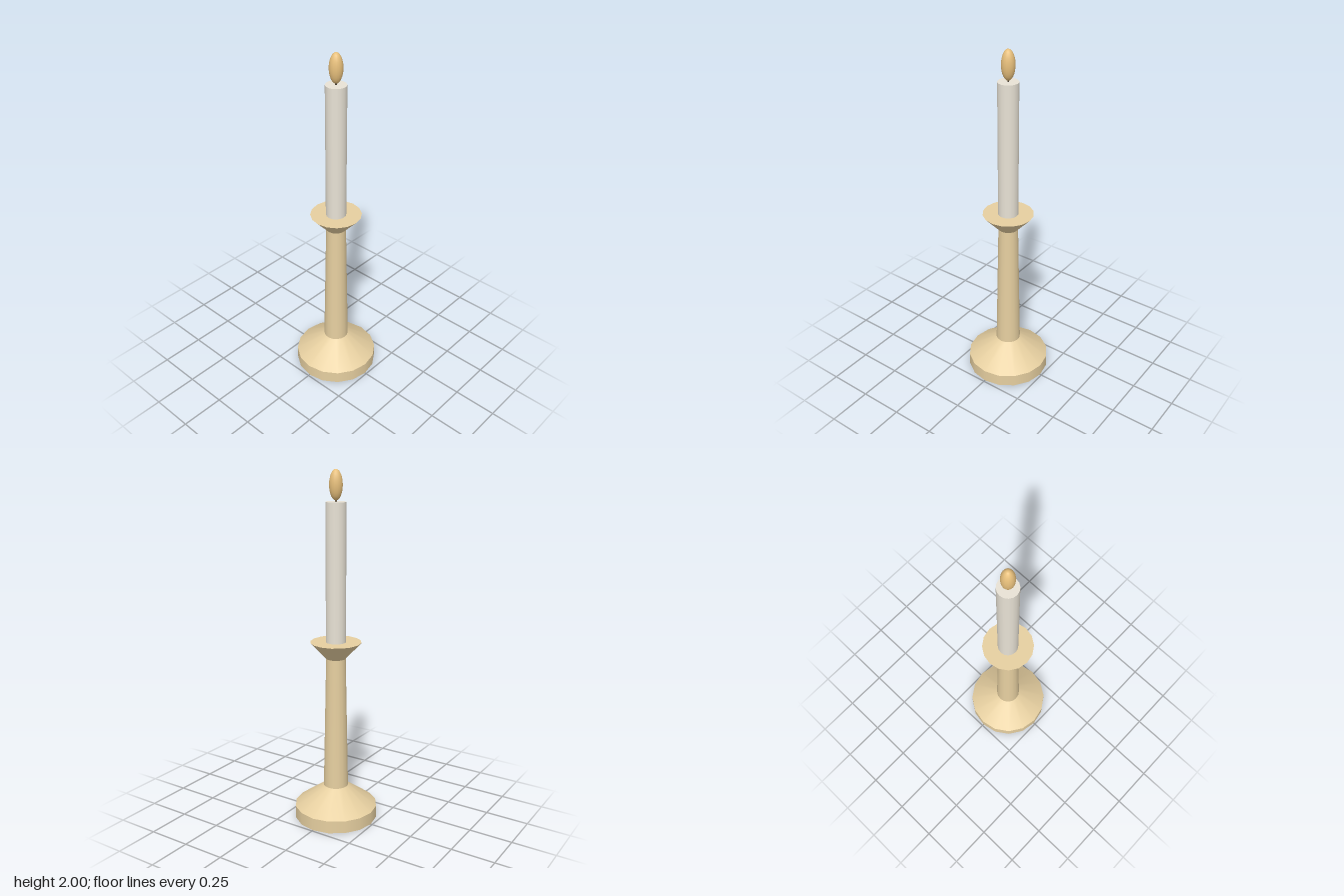
import * as THREE from 'three';

const SIDES = 16;

export function createModel() {
  const group = new THREE.Group();
  const brass = new THREE.MeshStandardMaterial({ color: 0xe6cfa0 });
  const wax = new THREE.MeshStandardMaterial({ color: 0xe8e2d5 });
  const fire = new THREE.MeshStandardMaterial({ color: 0xe8c07c });
  const dark = new THREE.MeshStandardMaterial({ color: 0x4a4034 });

  // Round part running from height y0 (radius r0) to y1 (radius r1)
  function turned(name, material, y0, r0, y1, r1) {
    const mesh = new THREE.Mesh(new THREE.CylinderGeometry(r1, r0, y1 - y0, SIDES), material);
    mesh.position.y = (y0 + y1) / 2;
    mesh.name = name;
    group.add(mesh);
  }

  // Holder
  turned('baseDisc', brass, 0, 0.24, 0.073, 0.24);
  turned('baseCone', brass, 0.073, 0.24, 0.195, 0.072);
  turned('stem', brass, 0.195, 0.072, 0.965, 0.056);
  turned('dripDish', brass, 0.965, 0.056, 1.06, 0.144);

  // Candle and wick
  turned('candle', wax, 1.06, 0.057, 1.83, 0.057);
  turned('wick', dark, 1.83, 0.005, 1.85, 0.005);

  // Flame: a tall ellipsoid
  const flame = new THREE.Mesh(new THREE.SphereGeometry(1, SIDES, 12), fire);
  flame.geometry.scale(0.037, 0.082, 0.037);
  flame.position.y = 1.918;
  flame.name = 'flame';
  group.add(flame);

  return group;
}
